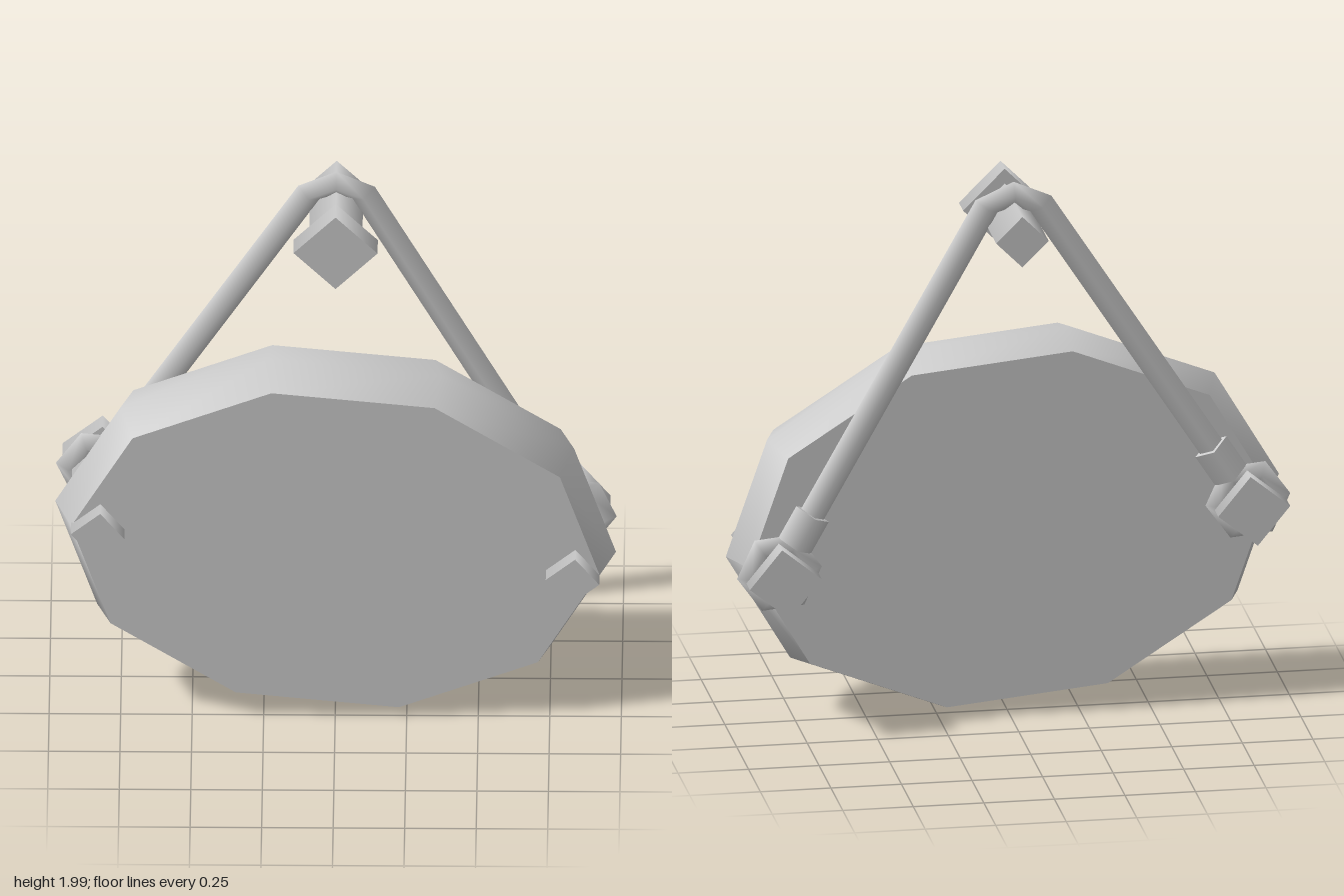
import * as THREE from 'three';
import { toCreasedNormals } from 'three/addons/utils/BufferGeometryUtils.js';

const TILT = -0.101;
const WIRE_Z = -0.14;
const RING_CENTRES = [new THREE.Vector3(-0.83, 0.783, WIRE_Z), new THREE.Vector3(0.83, 0.605, WIRE_Z)];

// Straight-sided path whose corners fall exactly on the tube's rings
class BentPath extends THREE.Curve {
  constructor(points) {
    super();
    this.points = points;
  }
  getPoint(t, target = new THREE.Vector3()) {
    const f = t * (this.points.length - 1);
    const i = Math.min(Math.floor(f), this.points.length - 2);
    return target.lerpVectors(this.points[i], this.points[i + 1], f - i);
  }
  getPointAt(u, target) { return this.getPoint(u, target); }
  getTangentAt(u, target) { return this.getTangent(u, target); }
}

export function createModel() {
  const model = new THREE.Group();
  const material = new THREE.MeshStandardMaterial({ color: 0xcccccc });

  const add = (name, geometry, parent = model) => {
    const mesh = new THREE.Mesh(geometry, material);
    mesh.name = name;
    parent.add(mesh);
    return mesh;
  };

  // Four-sided peg running along z between two depths
  const peg = (name, radius, zBack, zFront, parent) => {
    const geometry = new THREE.CylinderGeometry(radius, radius, zFront - zBack, 4);
    geometry.rotateX(Math.PI / 2);
    add(name, geometry, parent).position.z = (zBack + zFront) / 2;
  };

  // Oval ten-sided board, widest at the middle of its thickness
  const board = new THREE.CylinderGeometry(1, 1, 0.32, 10, 2, false, Math.PI / 2);
  const pos = board.attributes.position;
  for (let i = 0; i < pos.count; i++) {
    const s = Math.abs(pos.getY(i)) > 0.1 ? 0.942 : 1;
    pos.setXYZ(i, pos.getX(i) * s * 0.985, pos.getY(i), pos.getZ(i) * s * 0.69);
  }
  board.rotateX(Math.PI / 2);
  const boardMesh = add('board', toCreasedNormals(board, 0.9));
  boardMesh.position.set(0, 0.692, 0.1);
  boardMesh.rotation.z = TILT;

  // Wall nail that carries the wire
  const nail = new THREE.Group();
  nail.name = 'nail';
  nail.position.set(0, 1.838, 0);
  peg('nailShaft', 0.093, -0.325, 0.06, nail);
  peg('nailHead', 0.147, 0.05, 0.14, nail);
  model.add(nail);

  // Hanging wire bent over the nail
  const shoulders = [new THREE.Vector3(-0.096, 1.915, WIRE_Z), new THREE.Vector3(0.096, 1.915, WIRE_Z)];
  const directions = RING_CENTRES.map((c, i) => shoulders[i].clone().sub(c).normalize());
  const along = (i, d) => RING_CENTRES[i].clone().addScaledVector(directions[i], d);
  const path = new BentPath([
    along(0, 0.13), shoulders[0], new THREE.Vector3(0, 1.954, WIRE_Z), shoulders[1], along(1, 0.13),
  ]);
  add('wire', new THREE.TubeGeometry(path, 4, 0.046, 4, false));

  // Bolt, ring and wire collar at each side
  RING_CENTRES.forEach((centre, i) => {
    const side = i === 0 ? 'right' : 'left';
    const bolt = new THREE.Group();
    bolt.name = side + 'Bolt';
    bolt.position.set(centre.x, centre.y, 0);
    bolt.rotation.z = TILT;
    peg(side + 'BoltShaft', 0.094, -0.22, 0.325, bolt);
    peg(side + 'BoltHead', 0.128, -0.275, -0.2, bolt);
    add(side + 'Ring', new THREE.TorusGeometry(0.106, 0.045, 4, 6), bolt).position.z = WIRE_Z;
    model.add(bolt);

    const collar = add(side + 'Collar', new THREE.CylinderGeometry(0.066, 0.066, 0.13, 4));
    collar.position.copy(along(i, 0.175));
    collar.rotation.z = Math.atan2(-directions[i].x, directions[i].y);
  });

  return model;
}
